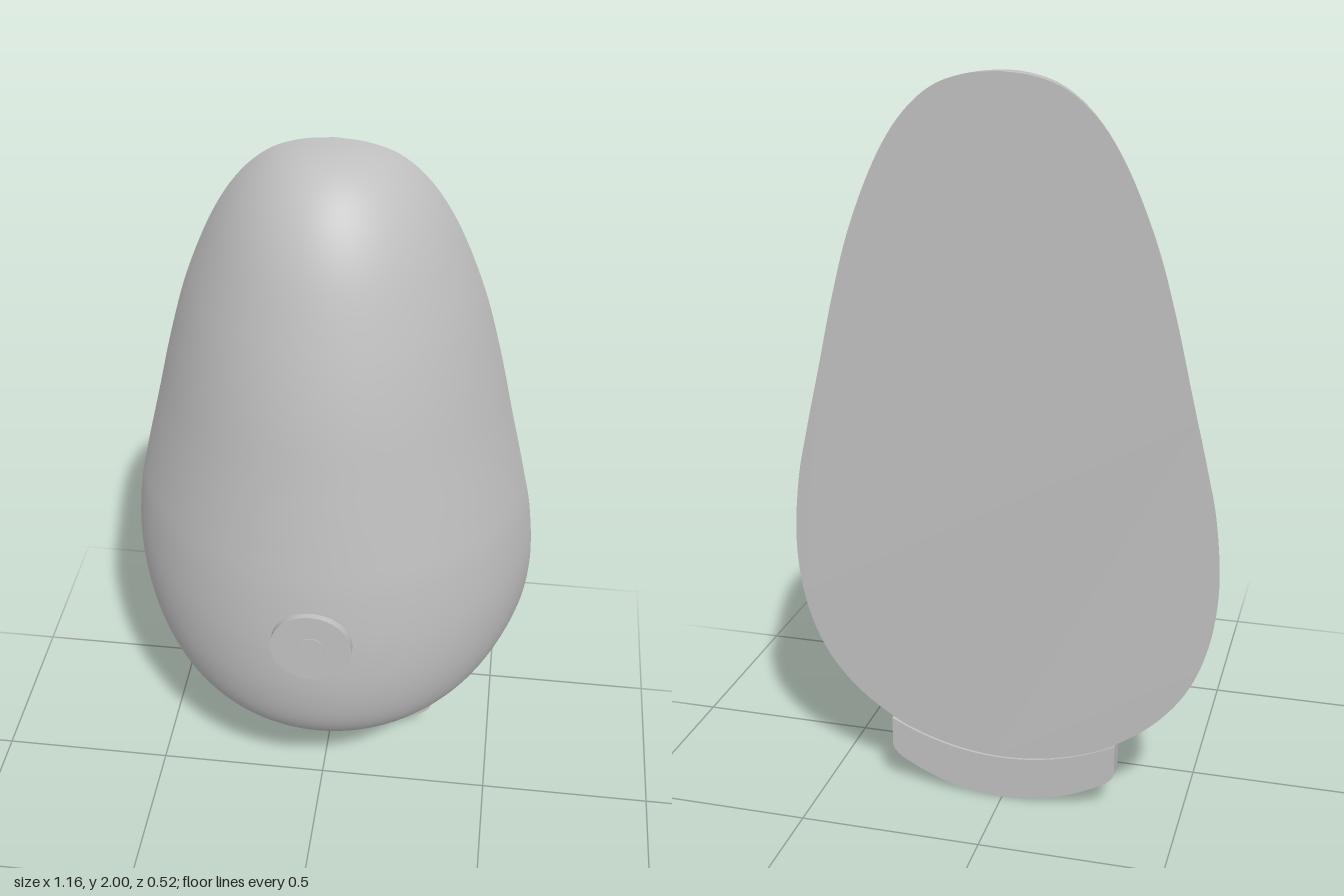
import * as THREE from 'three';

const BACK = -0.253;
const grey = new THREE.MeshStandardMaterial({ color: 0xc0c0c0 });
grey.name = 'light grey';

function add(group, name, geometry, x = 0, y = 0, z = 0) {
  const mesh = new THREE.Mesh(geometry, grey);
  mesh.name = name;
  mesh.position.set(x, y, z);
  group.add(mesh);
  return mesh;
}

// Half width, height and depth of the egg-shaped shell, from bottom to top
const profile = new THREE.CatmullRomCurve3([
  [0.001, 0.118, 0.001], [0.11, 0.13, 0.07], [0.22, 0.16, 0.16], [0.32, 0.21, 0.25],
  [0.43, 0.295, 0.37], [0.51, 0.4, 0.452], [0.56, 0.53, 0.489], [0.582, 0.7, 0.5],
  [0.567, 0.9, 0.49], [0.54, 1.03, 0.474], [0.495, 1.22, 0.447], [0.448, 1.42, 0.416],
  [0.396, 1.6, 0.374], [0.315, 1.79, 0.312], [0.245, 1.895, 0.25], [0.17, 1.96, 0.18],
  [0.09, 1.99, 0.1], [0.001, 2, 0.001],
].map(p => new THREE.Vector3(...p)));

const ROWS = 96, COLS = 64;
const rows = profile.getSpacedPoints(ROWS);

// Shell: each cross-section is slightly less than half an ellipse
function shellGeometry() {
  const t0 = 0.28, positions = [], index = [];
  for (const { x: w, y, z: d } of rows) {
    for (let j = 0; j <= COLS; j++) {
      const t = Math.PI - t0 - (Math.PI - 2 * t0) * j / COLS;
      positions.push(
        w * Math.cos(t) / Math.cos(t0), y,
        BACK + d * (Math.sin(t) - Math.sin(t0)) / (1 - Math.sin(t0)));
    }
  }
  for (let i = 0; i < ROWS; i++) {
    for (let j = 0; j < COLS; j++) {
      const a = i * (COLS + 1) + j, b = a + 1, c = b + COLS + 1, d = a + COLS + 1;
      index.push(a, b, c, a, c, d);
    }
  }
  const g = new THREE.BufferGeometry();
  g.setAttribute('position', new THREE.Float32BufferAttribute(positions, 3));
  g.setIndex(index);
  g.computeVertexNormals();
  return g;
}

// Flat back with the same outline as the shell
function backGeometry() {
  const right = rows.map(p => new THREE.Vector2(p.x, p.y));
  const left = rows.map(p => new THREE.Vector2(-p.x, p.y)).reverse();
  return new THREE.ShapeGeometry(new THREE.Shape([...right, ...left])).rotateY(Math.PI);
}

// Curved foot plate hugging the underside
function footGeometry(bottomMid, bottomSide, depth) {
  const s = new THREE.Shape();
  s.moveTo(-0.318, 0.205);
  s.lineTo(-0.318, bottomSide + 0.02);
  s.quadraticCurveTo(-0.318, bottomSide, -0.29, bottomSide - 0.02);
  s.quadraticCurveTo(-0.15, bottomMid, 0, bottomMid);
  s.quadraticCurveTo(0.15, bottomMid, 0.29, bottomSide - 0.02);
  s.quadraticCurveTo(0.318, bottomSide, 0.318, bottomSide + 0.02);
  s.lineTo(0.318, 0.205);
  s.quadraticCurveTo(0.16, 0.125, 0, 0.125);
  s.quadraticCurveTo(-0.16, 0.125, -0.318, 0.205);
  return new THREE.ExtrudeGeometry(s, { depth, bevelEnabled: false, curveSegments: 24 });
}

export function createModel() {
  const model = new THREE.Group();
  model.name = 'eggShapedDevice';

  add(model, 'shell', shellGeometry());
  add(model, 'backPanel', backGeometry(), 0, 0, BACK);
  add(model, 'foot', footGeometry(0, 0.105, 0.052), 0, 0, -0.26);
  // Thin lip between the foot and the shell
  add(model, 'footLip', footGeometry(0.113, 0.185, 0.02), 0, 0, -0.21);

  // Round front button with a small raised centre
  const disc = (r, h) => new THREE.CylinderGeometry(r, r, h, 64).rotateX(Math.PI / 2);
  add(model, 'button', disc(0.112, 0.03), 0, 0.745, 0.243);
  add(model, 'buttonCentre', disc(0.038, 0.004), 0, 0.745, 0.258);
  return model;
}
